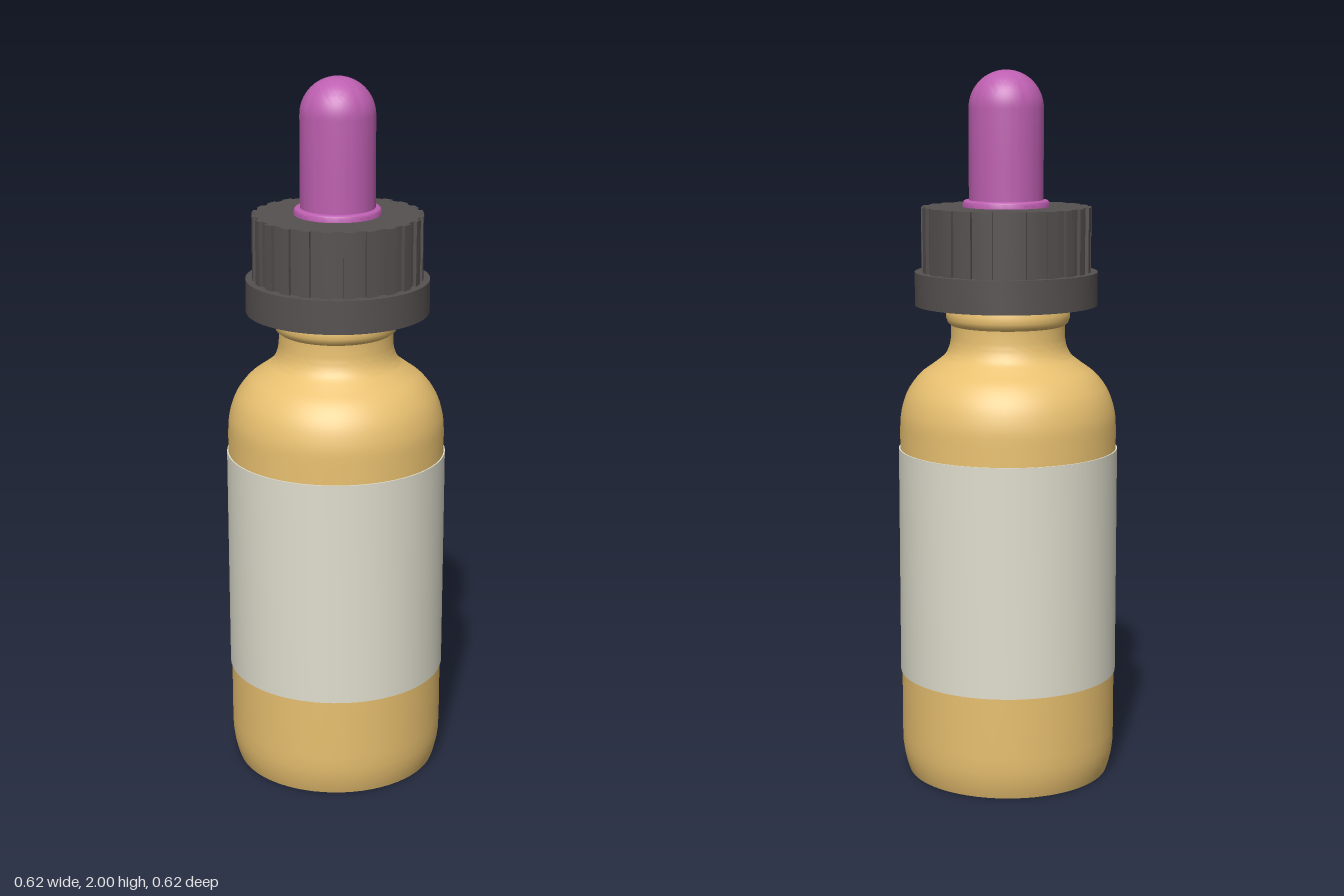
import * as THREE from 'three';
import { toCreasedNormals } from 'three/addons/utils/BufferGeometryUtils.js';

const SEGMENTS = 64;
const material = (color) => new THREE.MeshStandardMaterial({ color, roughness: 0.6 });

// Revolve [radius, height] points, listed from bottom to top
function lathe(name, points, mat, crease = 0.6) {
  const profile = points.map(([r, y]) => new THREE.Vector2(r, y));
  const geometry = toCreasedNormals(new THREE.LatheGeometry(profile, SEGMENTS), crease);
  const mesh = new THREE.Mesh(geometry, mat);
  mesh.name = name;
  return mesh;
}

// Points on an arc in the profile plane
function arc(cx, cy, r, from, to, steps) {
  return Array.from({ length: steps + 1 }, (_, i) => {
    const a = from + (to - from) * i / steps;
    return [Math.max(0, cx + r * Math.cos(a)), cy + r * Math.sin(a)];
  });
}

export function createModel() {
  const model = new THREE.Group();
  model.name = 'dropperBottle';
  const amber = material(0xe8c070);
  const paper = material(0xe0dece);
  const black = material(0x575151);
  const rubber = material(0xbd5fb0);

  // Bottle: flat base, rounded shoulder, neck and bead
  const shoulder = new THREE.SplineCurve([
    [0.306, 1.0], [0.302, 1.05], [0.284, 1.106], [0.25, 1.153], [0.208, 1.185],
    [0.178, 1.21], [0.164, 1.24], [0.16, 1.27],
  ].map(([x, y]) => new THREE.Vector2(x, y))).getPoints(28).map((p) => [p.x, p.y]);
  model.add(lathe('bottle', [
    [0, 0], [0.287, 0], [0.294, 0.02], [0.301, 0.05], [0.305, 0.08], [0.306, 0.12],
    ...shoulder,
    [0.16, 1.295], [0.169, 1.302], [0.174, 1.315], [0.174, 1.33],
    [0.17, 1.345], [0.165, 1.36], [0.165, 1.4], [0, 1.4],
  ], amber));

  // Label wrapped round the body
  model.add(lathe('label', [
    [0.305, 0.295], [0.31, 0.295], [0.31, 0.945], [0.305, 0.945],
  ], paper));

  // The dropper sits a touch behind the bottle axis
  const dropper = new THREE.Group();
  dropper.name = 'dropper';
  dropper.position.z = -0.006;
  model.add(dropper);

  dropper.add(lathe('capCollar', [
    [0, 1.352], [0.256, 1.352], [0.256, 1.445], [0, 1.445],
  ], black));

  // Ribbed cap: raised ribs alternating with grooves
  const ribs = 24, steps = 4;
  const outline = [];
  for (let i = 0; i < ribs * 2; i++) {
    const r = i % 2 ? 0.227 : 0.237;
    for (let s = 0; s <= steps; s++) {
      const a = (i - 0.5 + s / steps) * Math.PI / ribs;
      outline.push(new THREE.Vector2(r * Math.cos(a), r * Math.sin(a)));
    }
  }
  const capGeometry = new THREE.ExtrudeGeometry(new THREE.Shape(outline), { depth: 0.185, bevelEnabled: false });
  capGeometry.rotateX(-Math.PI / 2);
  const cap = new THREE.Mesh(toCreasedNormals(capGeometry, 0.5), black);
  cap.name = 'ribbedCap';
  cap.position.y = 1.44;
  dropper.add(cap);

  // Rubber bulb with a rounded flange at its foot
  dropper.add(lathe('bulb', [
    [0.104, 1.62], [0.104, 1.76], ...arc(0, 1.896, 0.104, 0, Math.PI / 2, 16),
  ], rubber));
  dropper.add(lathe('bulbFlange', [
    [0.121, 1.62], ...arc(0.111, 1.634, 0.01, 0, Math.PI / 2, 5), [0.1, 1.644],
  ], rubber));

  return model;
}
